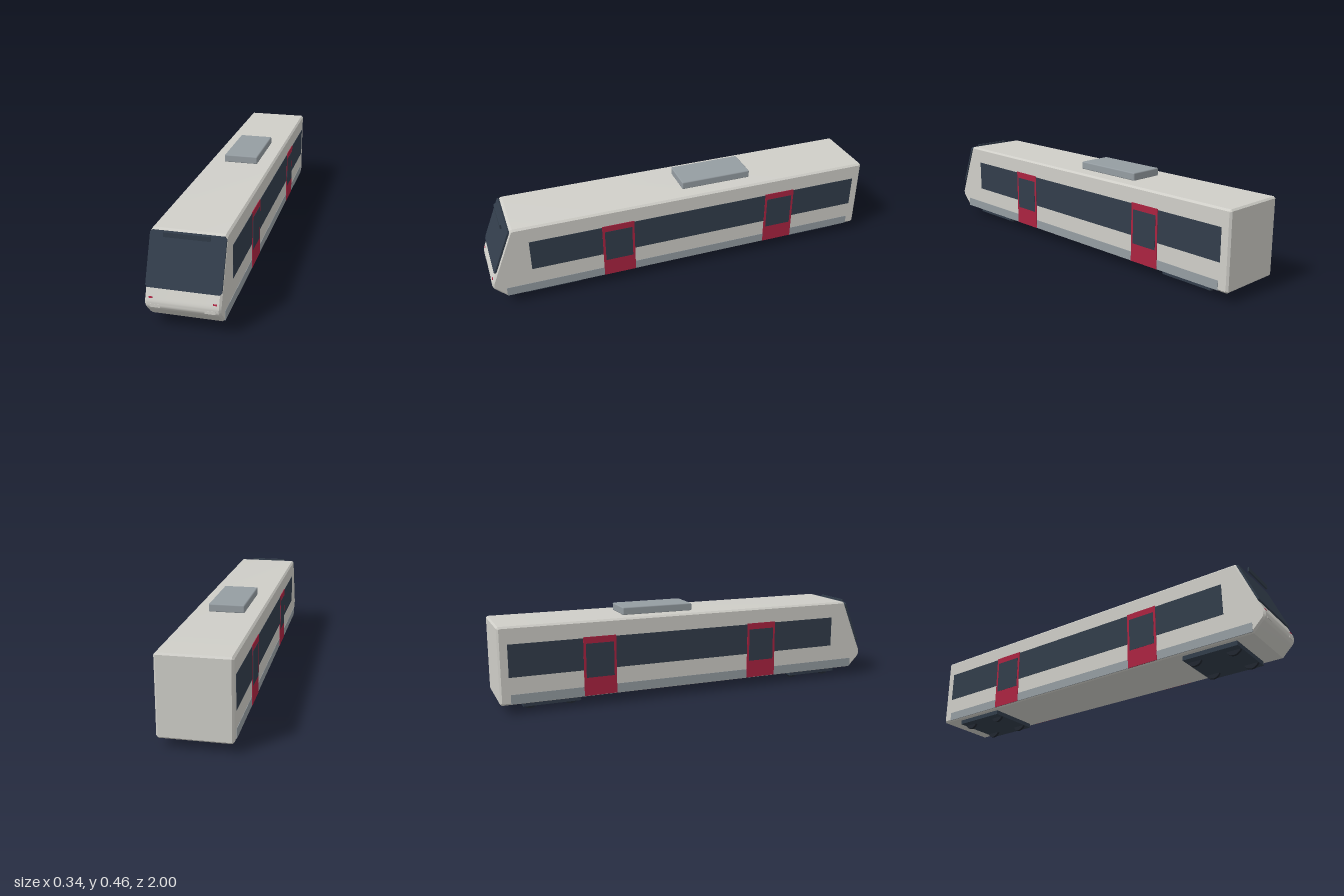
import * as THREE from 'three';
import { toCreasedNormals } from 'three/addons/utils/BufferGeometryUtils.js';
import { RoundedBoxGeometry } from 'three/addons/geometries/RoundedBoxGeometry.js';

const mat = (name, color) => {
  const m = new THREE.MeshStandardMaterial({ color });
  m.name = name;
  return m;
};

export function createModel() {
  const paint = mat('pale grey paint', 0xcfcec8);
  const glass = mat('navy glass', 0x323d4b);
  const red = mat('door red', 0xab2341);
  const grey = mat('mid grey', 0x959da2);
  const dark = mat('wheel dark', 0x20262f);

  const tram = new THREE.Group();
  tram.name = 'tram';
  const add = (name, geometry, material, x = 0, y = 0, z = 0, tilt = 0) => {
    const mesh = new THREE.Mesh(geometry, material);
    mesh.name = name;
    mesh.position.set(x, y, z);
    mesh.rotation.x = tilt;
    tram.add(mesh);
    return mesh;
  };
  // box given by its ranges in y and z
  const slab = (name, material, x, w, y0, y1, z0, z1) =>
    add(name, new THREE.BoxGeometry(w, y1 - y0, z1 - z0), material, x, (y0 + y1) / 2, (z0 + z1) / 2);

  // body shell: side profile (z, y) extruded across the width with chamfered edges
  const bevel = 0.009;
  const halfWidth = 0.165;
  const side = new THREE.Shape();
  side.moveTo(-0.992, 0.045);
  side.lineTo(0.935, 0.045);
  side.lineTo(0.985, 0.094);
  side.quadraticCurveTo(1.01, 0.118, 0.99, 0.155);
  side.lineTo(0.886, 0.408);
  side.quadraticCurveTo(0.882, 0.418, 0.865, 0.418);
  side.lineTo(-0.992, 0.418);
  side.lineTo(-1, 0.41);
  side.lineTo(-1, 0.053);
  side.closePath();
  const depth = 2 * (halfWidth - bevel);
  const shell = new THREE.ExtrudeGeometry(side, {
    depth, curveSegments: 8, bevelEnabled: true, bevelSegments: 1,
    bevelThickness: bevel, bevelSize: bevel, bevelOffset: -bevel,
  });
  shell.translate(0, 0, -depth / 2);
  shell.rotateY(-Math.PI / 2);
  add('body', toCreasedNormals(shell, 0.5), paint);

  // windscreen: a thin sloped plate with cut corners
  const slope = -0.39;
  const w = 0.165, h = 0.12, c = 0.01;
  const pane = new THREE.Shape([
    [-w + c, -h], [w - c, -h], [w, -h + c], [w, h - c],
    [w - c, h], [-w + c, h], [-w, h - c], [-w, -h + c],
  ].map(([x, y]) => new THREE.Vector2(x, y)));
  add('windscreen', new THREE.ExtrudeGeometry(pane, { depth: 0.009, bevelEnabled: false }),
    glass, 0, 0.3, 0.929, slope);

  // destination board above the windscreen
  slab('destinationBoard', glass, 0, 0.2, 0.397, 0.419, 0.911, 0.919);

  for (const s of [1, -1]) {
    // side strip, windows and doors
    slab('skirt', grey, s * 0.1645, 0.004, 0.05, 0.095, -0.95, 0.935);
    slab('sideWindow', glass, s * 0.1645, 0.004, 0.178, 0.335, -0.955, 0.802);
    for (const z of [0.363, -0.517]) {
      slab('door', red, s * 0.165, 0.006, 0.05, 0.34, z - 0.082, z + 0.082);
      slab('doorWindow', glass, s * 0.166, 0.006, 0.14, 0.308, z - 0.07, z + 0.07);
    }
    // lamps on the nose
    add('markerLamp', new THREE.BoxGeometry(0.016, 0.007, 0.008), red, s * 0.139, 0.151, 0.99, slope);
    add('headlamp', new THREE.BoxGeometry(0.045, 0.014, 0.009), paint, s * 0.119, 0.117, 0.995);
  }

  // roof unit
  add('roofUnit', new RoundedBoxGeometry(0.174, 0.04, 0.37, 1, 0.006), grey, 0, 0.436, -0.187);

  // two bogies, each with four wheels
  for (const z of [0.705, -0.75]) {
    slab('bogieFrame', glass, 0, 0.274, 0.023, 0.047, z - 0.14, z + 0.14);
    for (const dz of [-0.1, 0.1]) for (const x of [-0.09, 0.09]) {
      const wheel = new THREE.CylinderGeometry(0.04, 0.04, 0.014, 16);
      wheel.rotateZ(Math.PI / 2);
      add('wheel', toCreasedNormals(wheel, 0.6), dark, x, 0.04, z + dz);
    }
  }
  return tram;
}
